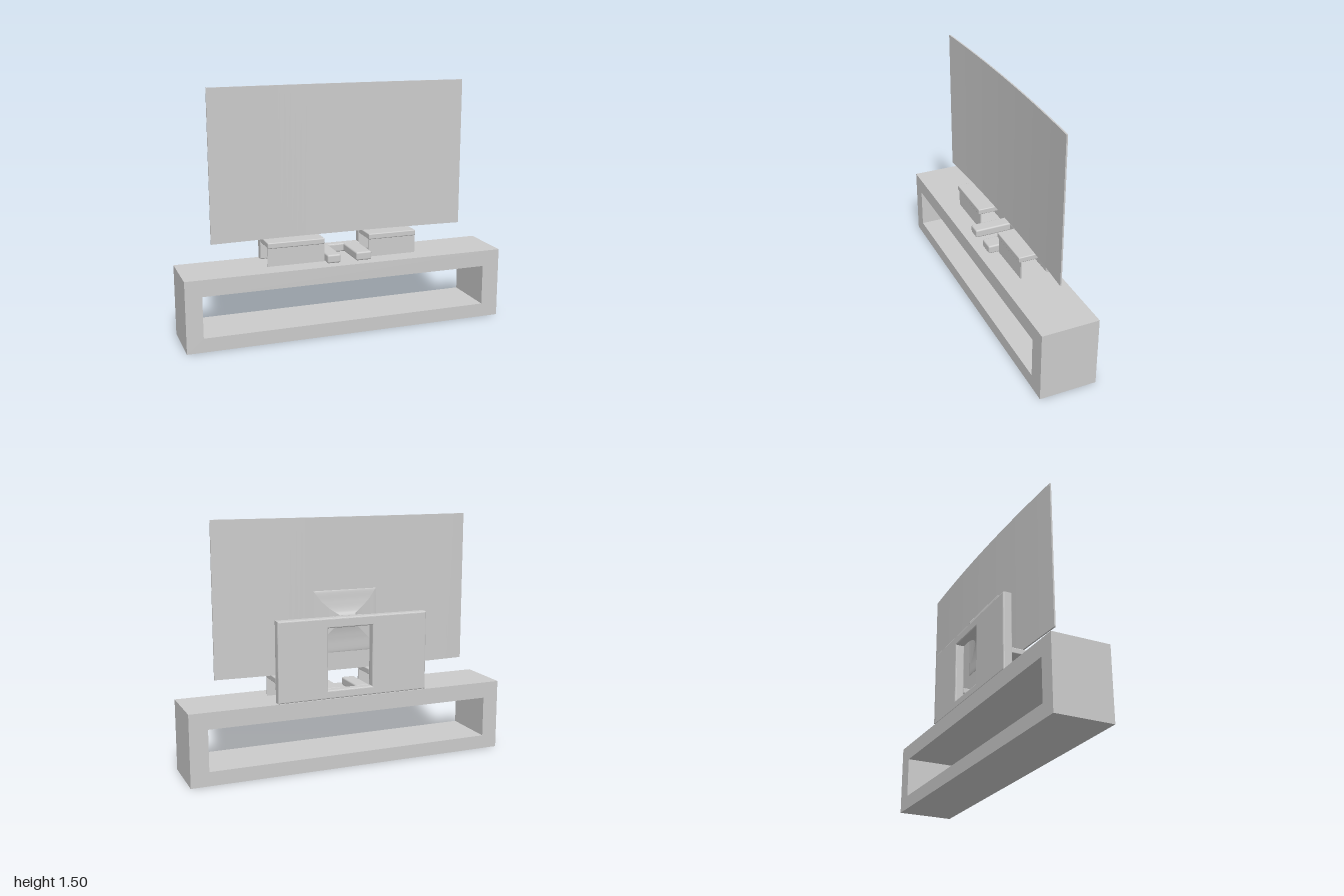
import * as THREE from 'three';
import { RoundedBoxGeometry } from 'three/addons/geometries/RoundedBoxGeometry.js';

const material = new THREE.MeshStandardMaterial({ color: 0xcccccc });

function add(parent, name, geometry) {
  const mesh = new THREE.Mesh(geometry, material);
  mesh.name = name;
  parent.add(mesh);
  return mesh;
}

// Box given by its limits on each axis, optionally with rounded edges
function block(parent, name, [x0, x1], [y0, y1], [z0, z1], radius = 0) {
  const size = [x1 - x0, y1 - y0, z1 - z0];
  const geometry = radius ? new RoundedBoxGeometry(...size, 3, radius) : new THREE.BoxGeometry(...size);
  const mesh = add(parent, name, geometry);
  mesh.position.set((x0 + x1) / 2, (y0 + y1) / 2, (z0 + z1) / 2);
}

function trace(path, [x0, x1], [y0, y1]) {
  path.moveTo(x0, y0).lineTo(x1, y0).lineTo(x1, y1).lineTo(x0, y1).closePath();
  return path;
}

// Rectangular slab with a rectangular opening, running from z0 to z1
function frame(parent, name, outer, inner, [z0, z1], bevel = 0) {
  const shape = trace(new THREE.Shape(), ...outer);
  shape.holes.push(trace(new THREE.Path(), ...inner));
  const geometry = new THREE.ExtrudeGeometry(shape, {
    depth: z1 - z0 - 2 * bevel, bevelEnabled: bevel > 0,
    bevelSize: bevel, bevelThickness: bevel, bevelOffset: -bevel, bevelSegments: 3,
  });
  geometry.translate(0, 0, z0 + bevel);
  add(parent, name, geometry);
}

// Thin panel bent gently towards the viewer at both ends
function curvedScreen() {
  const geometry = new THREE.BoxGeometry(1.61, 0.915, 0.009, 48, 1, 1);
  const p = geometry.attributes.position;
  for (let i = 0; i < p.count; i++) {
    p.setZ(i, p.getZ(i) + 0.023 * (p.getX(i) / 0.805) ** 2);
  }
  geometry.computeVertexNormals();
  return geometry.translate(0.005, 1.038, -0.0535);
}

// Rectangular neck whose half width, top and bottom follow a profile along z
function flaredNeck() {
  const rows = [ // z, half width, bottom, top
    [-0.118, 0.12, 0.865, 0.92], [-0.111, 0.07, 0.865, 0.92], [-0.1, 0.052, 0.865, 0.92],
    [-0.085, 0.06, 0.855, 0.928], [-0.074, 0.1, 0.82, 0.955],
    [-0.066, 0.155, 0.765, 1.005], [-0.059, 0.2, 0.69, 1.065], [-0.055, 0.2, 0.69, 1.065],
  ];
  const widths = new THREE.CatmullRomCurve3(rows.map(([z, w]) => new THREE.Vector3(w, 0, z)));
  const heights = new THREE.CatmullRomCurve3(rows.map(([z, , b, t]) => new THREE.Vector3(b, t, z)));
  const geometry = new THREE.BoxGeometry(1, 1, 1, 1, 1, 35);
  const p = geometry.attributes.position;
  for (let i = 0; i < p.count; i++) {
    const t = p.getZ(i) + 0.5;
    const w = widths.getPoint(t);
    const h = heights.getPoint(t);
    p.setXYZ(i, 0.008 + Math.sign(p.getX(i)) * w.x, p.getY(i) > 0 ? h.y : h.x, w.z);
  }
  geometry.computeVertexNormals();
  return geometry;
}

export function createModel() {
  const model = new THREE.Group();
  model.name = 'televisionOnCabinet';

  // Open cabinet
  frame(model, 'cabinet', [[-1, 1], [0, 0.435]], [[-0.9, 0.89], [0.085, 0.335]], [-0.175, 0.175]);

  // Display and its support
  const television = new THREE.Group();
  television.name = 'television';
  model.add(television);
  add(television, 'screen', curvedScreen());
  add(television, 'neck', flaredNeck());
  frame(television, 'backPanel', [[-0.48, 0.47], [0.435, 0.92]], [[-0.125, 0.16], [0.487, 0.86]],
    [-0.172, -0.115], 0.008);

  // Shelves with a thin front skirt on each side
  for (const [side, x] of [['right', [-0.48, -0.125]], ['left', [0.16, 0.47]]]) {
    block(television, side + 'Shelf', x, [0.546, 0.581], [-0.118, 0.062], 0.006);
    block(television, side + 'Skirt', x, [0.435, 0.55], [0.043, 0.051]);
  }

  // Feet reaching forward from the back panel
  for (const [side, x] of [['right', [-0.125, -0.042]], ['left', [0.058, 0.157]]]) {
    block(television, side + 'Foot', x, [0.436, 0.488], [-0.125, 0.115], 0.01);
  }
  return model;
}
